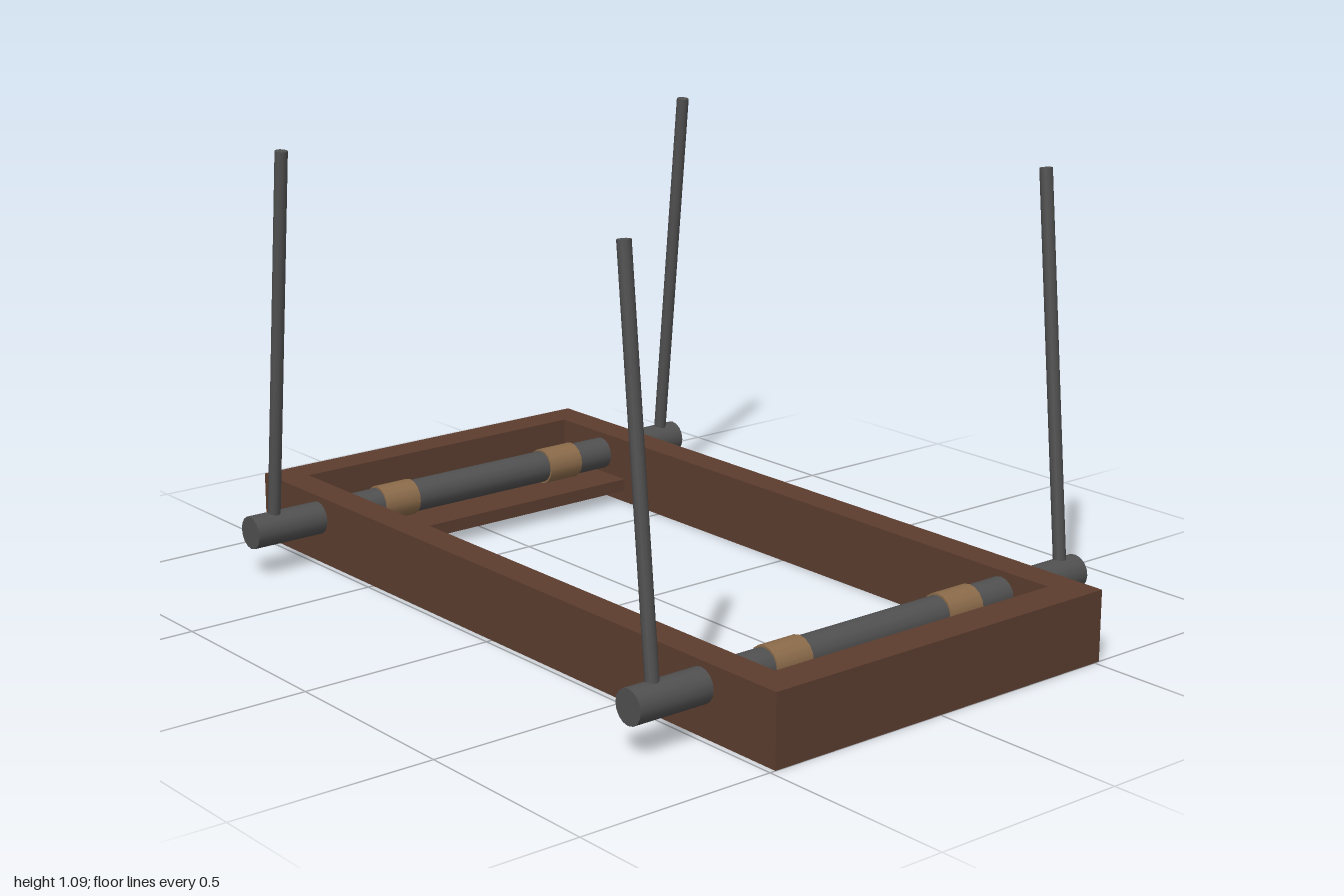
import * as THREE from 'three';

const wood = new THREE.MeshStandardMaterial({ color: 0x5c3d2e });
wood.name = 'dark wood';
const iron = new THREE.MeshStandardMaterial({ color: 0x505050 });
iron.name = 'dark iron';
const leather = new THREE.MeshStandardMaterial({ color: 0x8b6b4a });
leather.name = 'tan leather';

function add(parent, name, geometry, material) {
  const mesh = new THREE.Mesh(geometry, material);
  mesh.name = name;
  parent.add(mesh);
  return mesh;
}

// Cylinder running between two points
function addRod(parent, name, from, to, radius, sides, material) {
  const a = new THREE.Vector3(...from);
  const b = new THREE.Vector3(...to);
  const rod = add(parent, name, new THREE.CylinderGeometry(radius, radius, a.distanceTo(b), sides), material);
  rod.position.copy(a).lerp(b, 0.5);
  rod.quaternion.setFromUnitVectors(new THREE.Vector3(0, 1, 0), b.sub(a).normalize());
  return rod;
}

function rectangle(path, x0, x1, y0, y1) {
  path.moveTo(x0, y0);
  path.lineTo(x1, y0);
  path.lineTo(x1, y1);
  path.lineTo(x0, y1);
  path.closePath();
  return path;
}

export function createModel() {
  const model = new THREE.Group();
  model.name = 'rollerFrame';

  // Open rectangular frame lying on the ground
  const outline = rectangle(new THREE.Shape(), -1, 1, -0.485, 0.515);
  outline.holes.push(rectangle(new THREE.Path(), -0.913, 0.907, -0.405, 0.435));
  const frame = new THREE.ExtrudeGeometry(outline, { depth: 0.175, bevelEnabled: false });
  frame.rotateX(-Math.PI / 2);
  add(model, 'frame', frame, wood);

  const ends = [
    { name: 'right', x: -0.745, topX: -0.646, plankX: -0.713 },
    { name: 'left', x: 0.76, topX: 0.666, plankX: 0.753 },
  ];
  const axleY = 0.118;
  for (const { name, x, topX, plankX } of ends) {
    const end = new THREE.Group();
    end.name = name + 'RollerAssembly';
    model.add(end);

    // Axle through both long rails
    addRod(end, 'axle', [x, axleY, -0.69], [x, axleY, 0.685], 0.042, 16, iron);

    // Wrapped bands on the axle
    for (const z of [-0.278, 0.253]) {
      addRod(end, 'band', [x, axleY, z - 0.052], [x, axleY, z + 0.052], 0.047, 16, leather);
    }

    // Leaning handles at the axle ends
    for (const z of [-0.64, 0.617]) {
      addRod(end, 'handle', [x, axleY, z], [topX, 1.092, z], 0.016, 10, iron);
    }

    // Crossing plank under the axle
    const plank = add(end, 'plank', new THREE.BoxGeometry(0.136, 0.033, 0.86), wood);
    plank.position.set(plankX, 0.048, -0.015);
  }
  return model;
}
